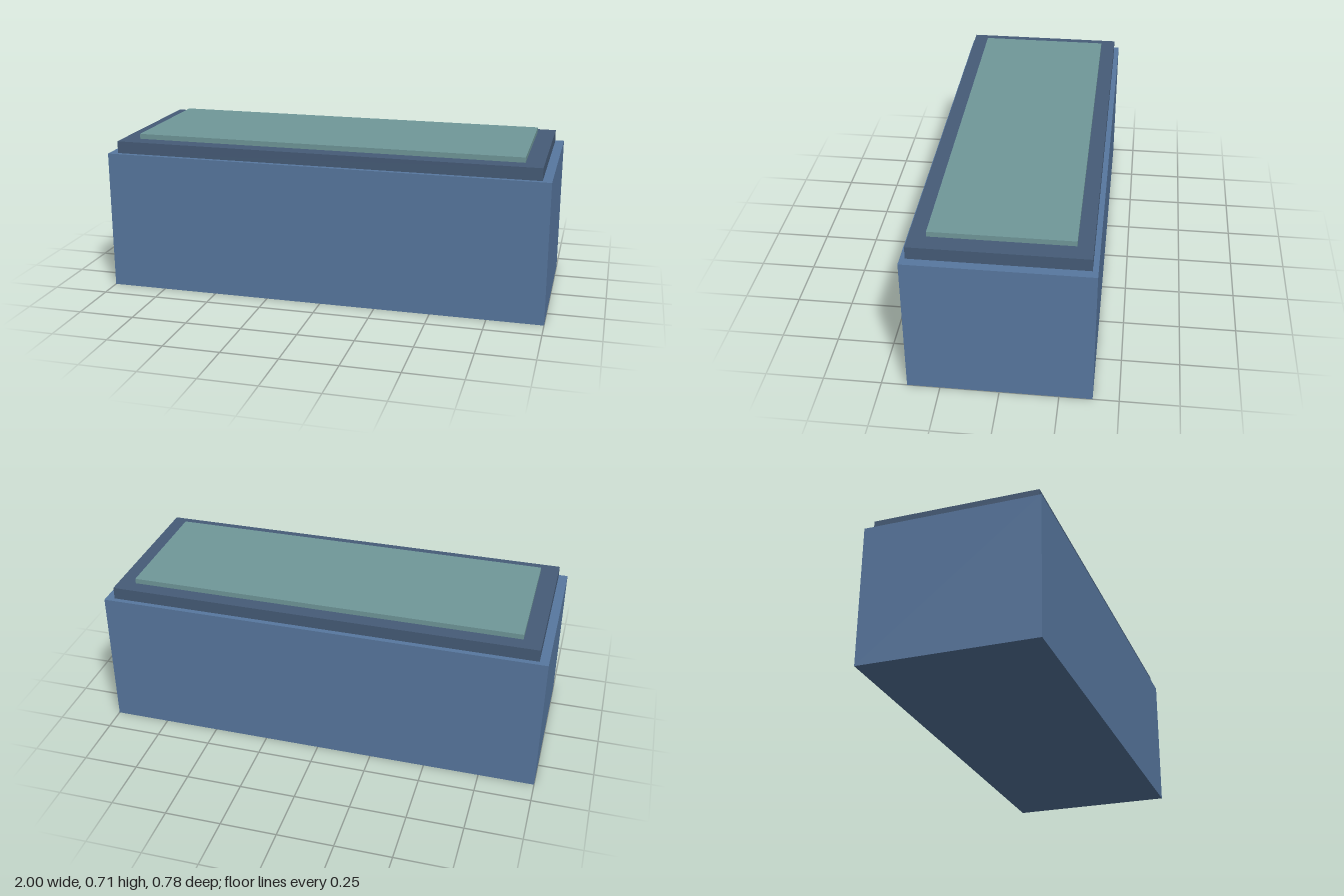
import * as THREE from 'three';

// Box given by its half width, bottom and top, back and front
function slab(name, color, halfWidth, y0, y1, z0, z1) {
  const mesh = new THREE.Mesh(
    new THREE.BoxGeometry(2 * halfWidth, y1 - y0, z1 - z0),
    new THREE.MeshStandardMaterial({ color })
  );
  mesh.name = name;
  mesh.position.set(0, (y0 + y1) / 2, (z0 + z1) / 2);
  return mesh;
}

export function createModel() {
  const model = new THREE.Group();
  model.name = 'steppedBlock';
  model.add(
    // Main block
    slab('body', 0x5878a0, 1, 0, 0.635, -0.39, 0.39),
    // Darker step around the top
    slab('upperStep', 0x465c78, 0.96, 0.635, 0.69, -0.367, 0.369),
    // Thin panel on top
    slab('topPanel', 0x70989a, 0.88, 0.69, 0.713, -0.301, 0.296)
  );
  return model;
}
